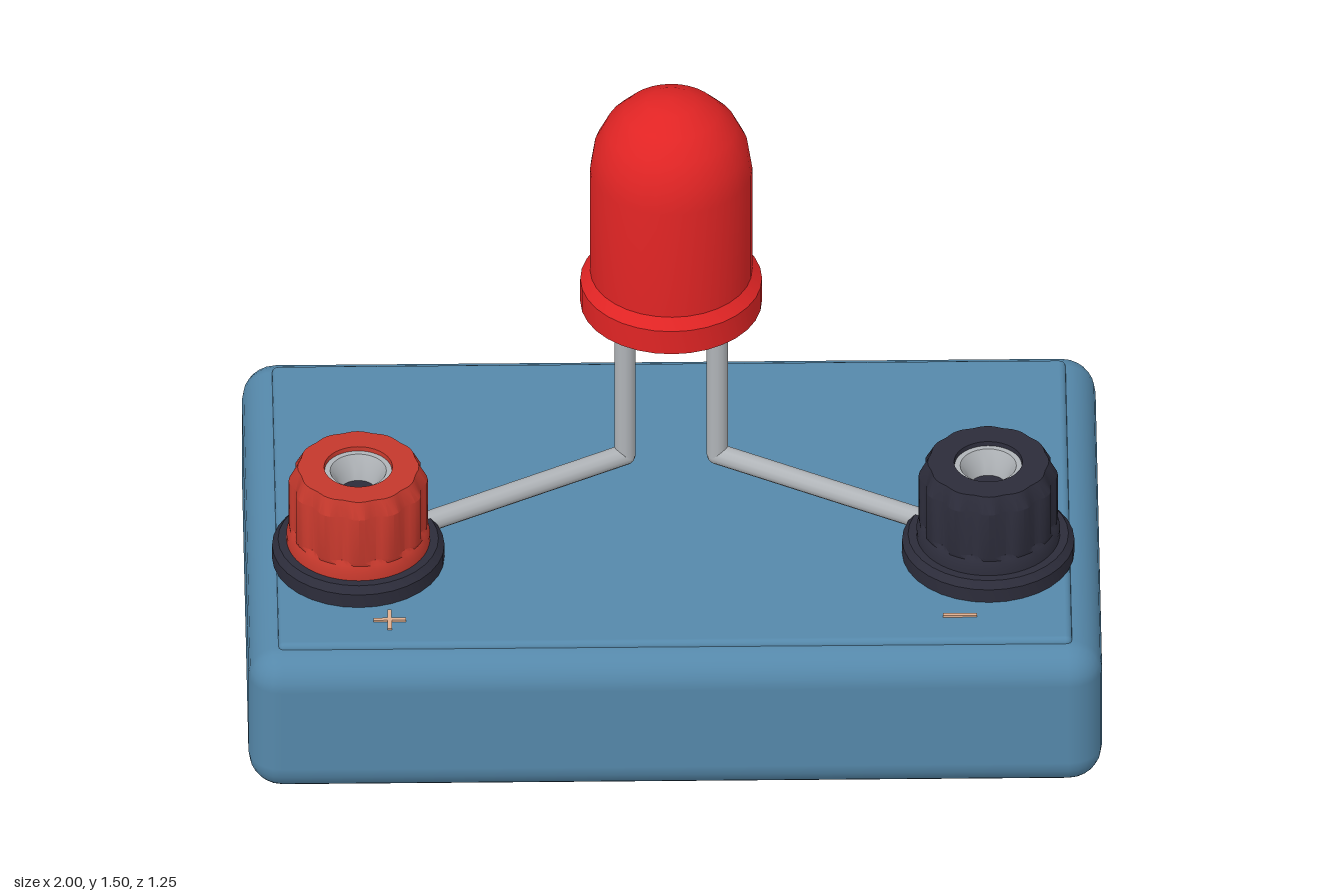
import * as THREE from 'three';
import { toCreasedNormals } from 'three/addons/utils/BufferGeometryUtils.js';
import { RoundedBoxGeometry } from 'three/addons/geometries/RoundedBoxGeometry.js';

const paint = (name, color) => {
  const m = new THREE.MeshStandardMaterial({ color });
  m.name = name;
  return m;
};

export function createModel() {
  const blue = paint('blue plastic', 0x5588aa);
  const red = paint('red lens', 0xe02424);
  const dullRed = paint('red knob plastic', 0xc4382c);
  const black = paint('black plastic', 0x2c2c3a);
  const metal = paint('metal', 0xb0b4b8);
  const ink = paint('marking', 0xe0b090);

  const model = new THREE.Group();
  model.name = 'ledModule';

  function add(name, geometry, material, x, y, z, parent = model) {
    const mesh = new THREE.Mesh(geometry, material);
    mesh.name = name;
    mesh.position.set(x, y, z);
    parent.add(mesh);
    return mesh;
  }
  const lathe = (points, segments) =>
    new THREE.LatheGeometry(points.map(([r, y]) => new THREE.Vector2(r, y)), segments);
  const creased = (g) => toCreasedNormals(g, 0.5);

  // Straight round rod between two points
  function rod(name, a, b, radius, parent) {
    const dir = b.clone().sub(a);
    const mid = a.clone().add(b).multiplyScalar(0.5);
    const mesh = add(name, new THREE.CylinderGeometry(radius, radius, dir.length(), 12),
      metal, mid.x, mid.y, mid.z, parent);
    mesh.quaternion.setFromUnitVectors(new THREE.Vector3(0, 1, 0), dir.normalize());
  }

  // Base block, raised top panel and feet
  add('base', new RoundedBoxGeometry(2, 0.38, 1.255, 3, 0.08), blue, 0, 0.23, 0);
  add('topPanel', new RoundedBoxGeometry(1.86, 0.06, 1.12, 2, 0.015), blue, 0, 0.402, 0);
  for (const x of [-0.72, 0.72]) for (const z of [-0.39, 0.39]) {
    add('foot', new RoundedBoxGeometry(0.38, 0.08, 0.285, 2, 0.03), black, x, 0.04, z);
  }

  // Lamp: flange, barrel and dome in one turned profile
  const ledZ = -0.143;
  const lens = [[0, 0.91], [0.213, 0.91], [0.213, 0.975], [0.19, 1.0], [0.19, 1.295]];
  for (let i = 1; i <= 5; i++) {
    const a = (i / 5) * Math.PI / 2;
    lens.push([i === 5 ? 0 : 0.19 * Math.cos(a), 1.295 + 0.2 * Math.sin(a)]);
  }
  add('lens', creased(lathe(lens, 32)), red, 0, 0, ledZ);

  // Fluted knob: the grip is pinched inwards between twelve ribs
  function knobGeometry() {
    const g = lathe([[0.168, 0.47], [0.168, 0.505], [0.16, 0.52], [0.163, 0.53], [0.163, 0.655],
      [0.142, 0.693], [0.08, 0.693], [0.076, 0.66]], 72);
    const p = g.attributes.position;
    for (let i = 0; i < p.count; i++) {
      const x = p.getX(i), z = p.getZ(i), y = p.getY(i);
      if (y < 0.525 || Math.hypot(x, z) < 0.1) continue;
      const groove = Math.pow(Math.abs(Math.sin(6 * Math.atan2(z, x))), 3);
      const s = 1 - (y > 0.67 ? 0.03 : 0.07) * groove;
      p.setXYZ(i, x * s, y, z * s);
    }
    return creased(g);
  }

  // Binding posts with their bent leads, one on each side
  for (const side of [-1, 1]) {
    const post = new THREE.Group();
    post.name = side < 0 ? 'positivePost' : 'negativePost';
    post.position.set(side * 0.738, 0, 0.21);
    model.add(post);
    add('washer', creased(lathe([[0, 0.415], [0.19, 0.415], [0.202, 0.432], [0.202, 0.468],
      [0.188, 0.485], [0, 0.485]], 32)), black, 0, 0, 0, post);
    add('knob', knobGeometry(), side < 0 ? dullRed : black, 0, 0, 0, post);
    add('socketRing', creased(lathe([[0.079, 0.682], [0.066, 0.682], [0.05, 0.65],
      [0.043, 0.62]], 32)), metal, 0, 0, 0, post);
    const floor = add('socketFloor', new THREE.CircleGeometry(0.046, 24), black, 0, 0.622, 0, post);
    floor.rotation.x = -Math.PI / 2;

    const lead = new THREE.Group();
    lead.name = 'lead';
    model.add(lead);
    const bend = new THREE.Vector3(side * 0.108, 0.466, ledZ);
    rod('leadLeg', new THREE.Vector3(bend.x, 0.93, bend.z), bend, 0.025, lead);
    rod('leadArm', bend, new THREE.Vector3(side * 0.738, 0.466, 0.21), 0.025, lead);
    add('leadBend', new THREE.SphereGeometry(0.025, 12, 8), metal, bend.x, bend.y, bend.z, lead);
  }

  // Polarity marks
  const stroke = (name, x, w, d) =>
    add(name, new THREE.BoxGeometry(w, 0.008, d), ink, x, 0.433, 0.465);
  stroke('plusBar', -0.668, 0.076, 0.01);
  stroke('plusStem', -0.668, 0.01, 0.076);
  stroke('minusBar', 0.668, 0.08, 0.01);

  return model;
}
